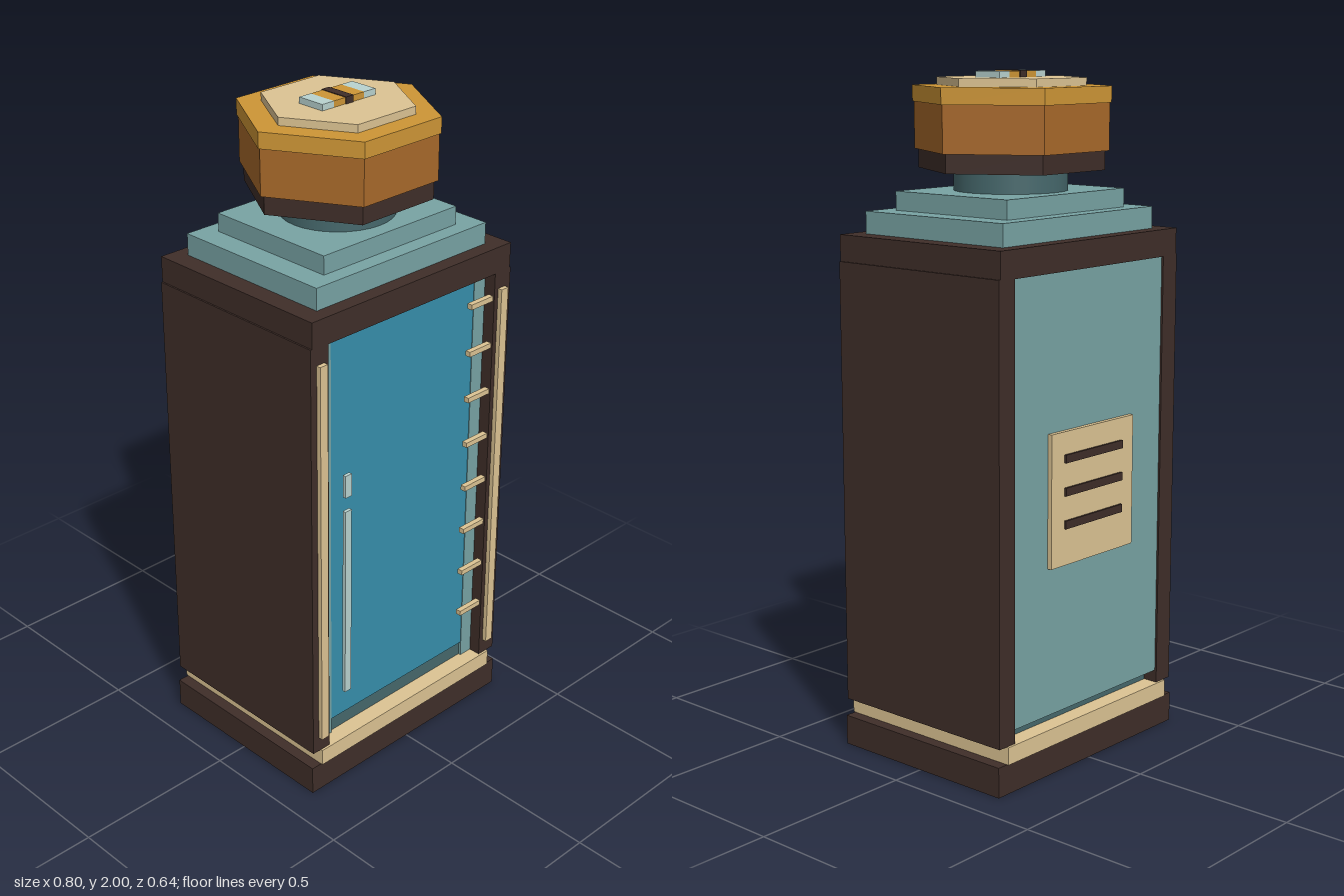
import * as THREE from 'three';

const mat = (color) => new THREE.MeshStandardMaterial({ color, flatShading: true });

export function createModel() {
  const model = new THREE.Group();
  model.name = 'displayCabinet';
  const dark = mat(0x3f2e29), tan = mat(0xddc493), teal = mat(0x78a3a4), deepTeal = mat(0x46686c);
  const blue = mat(0x368fab), brown = mat(0xa8692a), gold = mat(0xce9636), pale = mat(0xb9d3d0);

  const add = (name, geometry, material, x, y, z) => {
    const mesh = new THREE.Mesh(geometry, material);
    mesh.name = name;
    mesh.position.set(x, y, z);
    model.add(mesh);
    return mesh;
  };
  // box given by its minimum and maximum on each axis
  const box = (name, m, x0, x1, y0, y1, z0, z1) =>
    add(name, new THREE.BoxGeometry(x1 - x0, y1 - y0, z1 - z0), m,
      (x0 + x1) / 2, (y0 + y1) / 2, (z0 + z1) / 2);
  // box centred on x and z
  const slab = (name, m, hx, y0, y1, hz) => box(name, m, -hx, hx, y0, y1, -hz, hz);
  // prism with corners on the x axis
  const hex = (name, m, r, y0, y1) =>
    add(name, new THREE.CylinderGeometry(r, r, y1 - y0, 6).rotateY(Math.PI / 6), m, 0, (y0 + y1) / 2, 0);

  // plinth
  slab('base', dark, 0.4, 0, 0.09, 0.307);
  slab('baseBand', tan, 0.365, 0.09, 0.142, 0.313);

  // cabinet body
  slab('core', deepTeal, 0.33, 0.142, 1.46, 0.26);
  slab('topFrame', dark, 0.39, 1.46, 1.54, 0.307);
  for (const s of [-1, 1]) {
    const side = s < 0 ? 'right' : 'left';
    const mirrored = (name, m, a, b, ...rest) =>
      box(side + name, m, Math.min(s * a, s * b), Math.max(s * a, s * b), ...rest);
    mirrored('Wall', dark, 0.33, 0.395, 0.142, 1.463, -0.306, 0.306);
    mirrored('FrontTrim', tan, 0.345, 0.373, 0.19, 1.41, 0.3, 0.32);
    mirrored('WindowStile', teal, 0.285, 0.33, 0.142, 1.46, 0.255, 0.268);
  }
  box('windowTopRail', teal, -0.285, 0.285, 1.44, 1.46, 0.255, 0.268);
  box('windowPane', blue, -0.285, 0.285, 0.19, 1.44, 0.255, 0.266);

  // level marks and light streaks in front of the window
  for (let i = 0; i < 8; i++) {
    const y = 0.35 + i * 0.1486;
    box('levelMark' + (i + 1), tan, 0.225, 0.315, y - 0.008, y + 0.008, 0.297, 0.314);
  }
  box('lowerStreak', pale, -0.275, -0.251, 0.31, 0.925, 0.305, 0.316);
  box('upperStreak', pale, -0.275, -0.251, 0.97, 1.04, 0.305, 0.316);

  // back panel with a slotted vent plate
  box('backPanel', teal, -0.33, 0.33, 0.18, 1.46, -0.3, -0.255);
  box('ventPlate', tan, -0.184, 0.184, 0.62, 1.01, -0.314, -0.3);
  for (const y of [0.74, 0.836, 0.932]) {
    box('ventSlot', dark, -0.128, 0.128, y - 0.012, y + 0.012, -0.321, -0.31);
  }

  // stepped shoulders and neck
  slab('lowerStep', teal, 0.33, 1.54, 1.605, 0.262);
  slab('upperStep', teal, 0.257, 1.605, 1.66, 0.213);
  const neckMat = deepTeal.clone();
  neckMat.flatShading = false;
  add('neck', new THREE.CylinderGeometry(0.166, 0.166, 0.06, 32), neckMat, 0, 1.69, 0);

  // six-sided stopper
  hex('stopperFoot', dark, 0.274, 1.72, 1.775);
  hex('stopperBody', brown, 0.286, 1.775, 1.91);
  hex('stopperRim', gold, 0.291, 1.91, 1.957);
  hex('stopperTop', tan, 0.219, 1.957, 1.98);

  // striped tab on top
  for (const s of [-1, 1]) {
    box('tabEnd', pale, s * 0.0785 - 0.0215, s * 0.0785 + 0.0215, 1.98, 1.998, -0.045, 0.045);
  }
  slab('tabMiddle', gold, 0.057, 1.98, 1.998, 0.045);
  slab('tabStripe', dark, 0.014, 1.98, 2.0, 0.048);

  return model;
}
